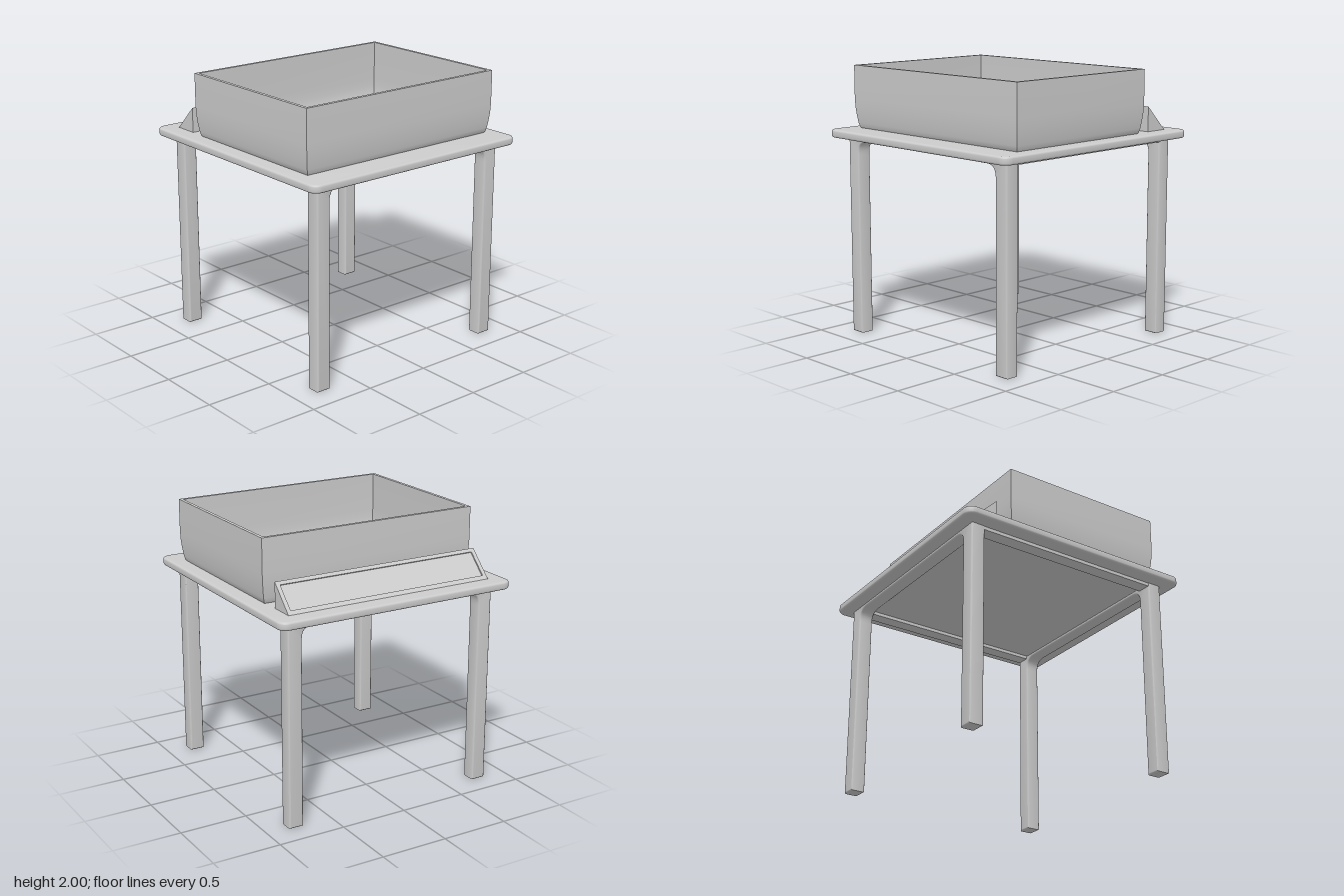
import * as THREE from 'three';
import { toCreasedNormals } from 'three/addons/utils/BufferGeometryUtils.js';

const material = new THREE.MeshStandardMaterial({ color: 0xcccccc });

function part(name, geometry, parent) {
  const mesh = new THREE.Mesh(geometry, material);
  mesh.name = name;
  parent.add(mesh);
  return mesh;
}

function roundedRect(w, d, r) {
  const s = new THREE.Shape();
  const x = w / 2, y = d / 2;
  s.absarc(x - r, y - r, r, 0, Math.PI / 2);
  s.absarc(-x + r, y - r, r, Math.PI / 2, Math.PI);
  s.absarc(-x + r, -y + r, r, Math.PI, Math.PI * 1.5);
  s.absarc(x - r, -y + r, r, Math.PI * 1.5, Math.PI * 2);
  s.closePath();
  return s;
}

// Lofts a rectangle through [inset, y] steps, capping both ends
function rectLoft(halfX, halfZ, steps) {
  const pos = [];
  const corners = steps.map(([i, y]) => [[1, 1], [1, -1], [-1, -1], [-1, 1]]
    .map(([sx, sz]) => [sx * (halfX - i), y, sz * (halfZ - i)]));
  const quad = (a, b, c, d) => pos.push(...a, ...b, ...c, ...a, ...c, ...d);
  for (let k = 0; k < corners.length - 1; k++) {
    const lo = corners[k], hi = corners[k + 1];
    for (let j = 0; j < 4; j++) {
      const n = (j + 1) % 4;
      quad(lo[j], lo[n], hi[n], hi[j]);
    }
  }
  const first = corners[0], last = corners[corners.length - 1];
  quad(first[3], first[2], first[1], first[0]);
  quad(last[0], last[1], last[2], last[3]);
  const g = new THREE.BufferGeometry();
  g.setAttribute('position', new THREE.Float32BufferAttribute(pos, 3));
  return toCreasedNormals(g, 0.6);
}

// Extrudes an x-y outline from z0 to z1
function prism(points, z0, z1) {
  const shape = new THREE.Shape(points.map(([x, y]) => new THREE.Vector2(x, y)));
  const g = new THREE.ExtrudeGeometry(shape, { depth: z1 - z0, bevelEnabled: false });
  return g.translate(0, 0, z0);
}

export function createModel() {
  const model = new THREE.Group();
  model.name = 'tableWithTray';

  // Tabletop with softened rim
  const top = new THREE.ExtrudeGeometry(roundedRect(1.875, 1.87, 0.07), {
    depth: 0.03, bevelThickness: 0.015, bevelSize: 0.02, bevelOffset: -0.02,
    bevelSegments: 4, curveSegments: 8,
  });
  top.rotateX(-Math.PI / 2).translate(0, 1.49, 0);
  part('tabletop', toCreasedNormals(top, 0.6), model);

  // Side frames: two legs joined by a rail with curved inner corners
  const out = 0.83, inn = 0.722, rail = 1.45, topY = 1.478;
  const u = new THREE.Shape();
  u.moveTo(-out, 0);
  u.lineTo(-inn, 0);
  u.lineTo(-inn, rail - 0.1);
  u.bezierCurveTo(-inn, rail - 0.03, -inn + 0.02, rail, -inn + 0.09, rail);
  u.lineTo(inn - 0.09, rail);
  u.bezierCurveTo(inn - 0.02, rail, inn, rail - 0.03, inn, rail - 0.1);
  u.lineTo(inn, 0);
  u.lineTo(out, 0);
  u.lineTo(out, topY);
  u.lineTo(-out, topY);
  u.closePath();
  const frame = new THREE.ExtrudeGeometry(u, {
    depth: 0.084, bevelThickness: 0.012, bevelSize: 0.012, bevelOffset: -0.012,
    bevelSegments: 3, curveSegments: 10,
  });
  frame.translate(0, 0, -0.042).rotateY(Math.PI / 2);
  const sideGeometry = toCreasedNormals(frame, 0.6);
  for (const s of [-1, 1]) {
    const side = s < 0 ? 'right' : 'left';
    part(side + 'LegFrame', sideGeometry, model).position.set(s * 0.781 - 0.005, 0, -0.005);
  }

  // Front and back rails
  for (const s of [-1, 1]) {
    const bar = part(s > 0 ? 'frontRail' : 'backRail', new THREE.BoxGeometry(1.5, 0.028, 0.1), model);
    bar.position.set(-0.005, 1.464, s * 0.776 - 0.005);
  }

  // Open tray with walls curving in toward the floor
  const tray = rectLoft(0.64, 0.85, [
    [0.032, 1.533], [0.024, 1.545], [0.017, 1.575], [0.009, 1.63], [0.003, 1.69], [0, 1.76],
    [0, 2], [0.025, 2],
    [0.025, 1.72], [0.028, 1.66], [0.034, 1.61], [0.043, 1.58], [0.058, 1.57],
  ]);
  part('tray', tray, model).position.set(0.11, 0, -0.002);

  // Sloped stand with a recessed panel between two solid ends
  const stand = new THREE.Group();
  stand.name = 'slopedStand';
  model.add(stand);
  const low = [-0.812, 1.534], base = [-0.627, 1.534], peak = [-0.627, 1.719];
  const notched = [low, base, peak, [-0.647, 1.699], [-0.64, 1.692], [-0.78, 1.552], [-0.787, 1.559]];
  part('recessedPanel', prism(notched, -0.782, 0.782), stand);
  part('frontEnd', prism([low, base, peak], 0.782, 0.812), stand);
  part('backEnd', prism([low, base, peak], -0.812, -0.782), stand);

  return model;
}
